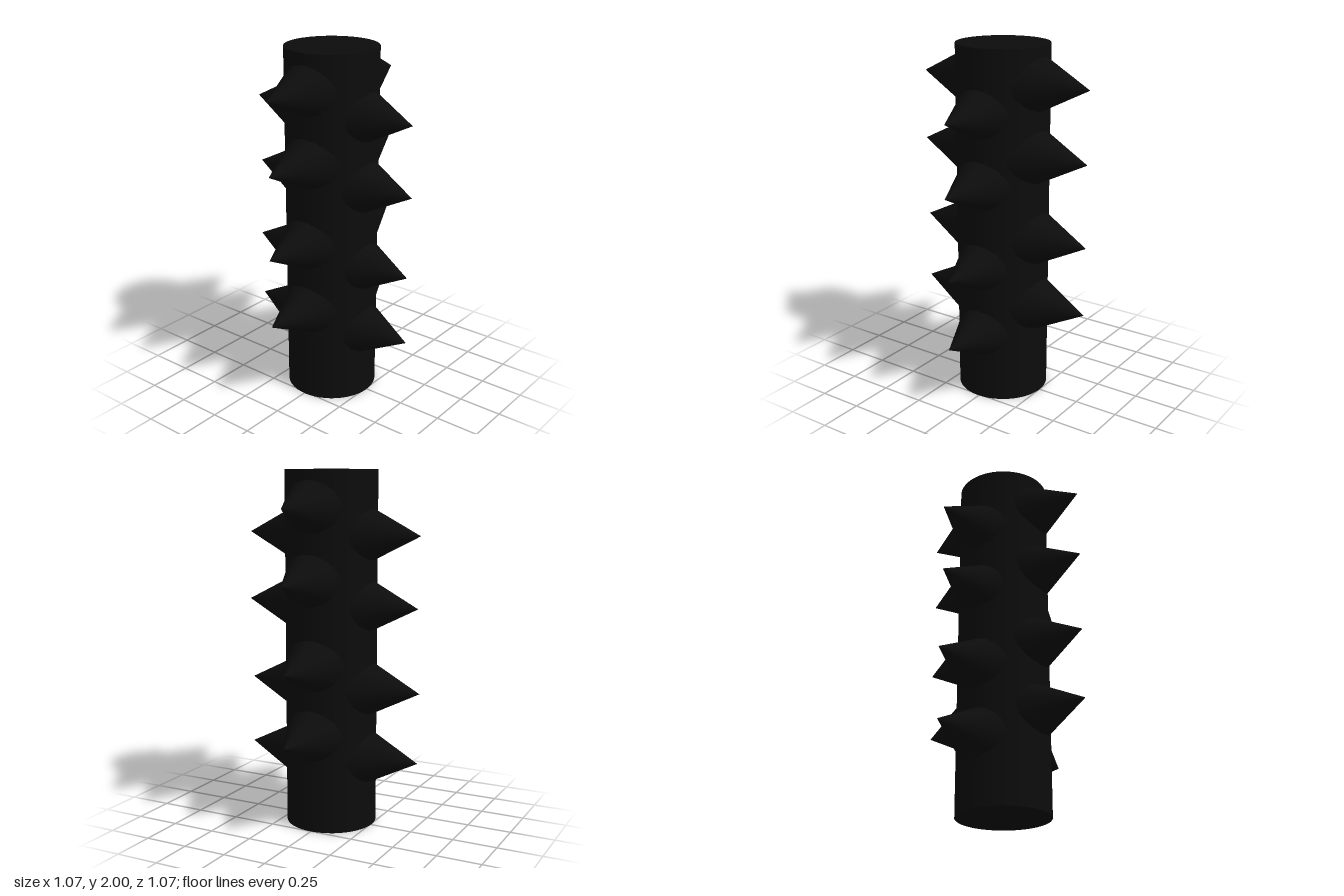
import * as THREE from 'three';

const material = new THREE.MeshStandardMaterial({ color: 0x0c0c0c });
const SPIKE_HEIGHT = 0.4;

// A cone lying along a horizontal direction, its tip at the given distance from the centre
function makeSpike(name, y, angle, reach, offsetX, offsetZ) {
  const geometry = new THREE.ConeGeometry(SPIKE_HEIGHT / 2, SPIKE_HEIGHT, 32);
  geometry.translate(0, reach - SPIKE_HEIGHT / 2, 0);
  geometry.rotateX(Math.PI / 2);
  const spike = new THREE.Mesh(geometry, material);
  spike.name = name;
  spike.rotation.y = angle;
  spike.position.set(offsetX, y, offsetZ);
  return spike;
}

export function createModel() {
  const model = new THREE.Group();
  model.name = 'spikedColumn';

  // Round column
  const column = new THREE.Mesh(new THREE.CylinderGeometry(0.257, 0.257, 2, 48), material);
  column.name = 'column';
  column.position.set(0.002, 1, 0.006);
  model.add(column);

  // Spike pairs to the left and right: [height, sideways shift]
  for (const [y, shift] of [[0.4, -0.004], [0.795, -0.01], [1.26, 0.005], [1.65, -0.004]]) {
    model.add(makeSpike('leftSpike', y, Math.PI / 2, 0.528, shift, 0.003));
    model.add(makeSpike('rightSpike', y, -Math.PI / 2, 0.528, shift, 0.003));
  }

  // Spike pairs to the front and back, set between the side pairs
  for (const [y, shift] of [[0.55, 0.008], [0.942, 0.004], [1.408, 0.014], [1.8, 0.008]]) {
    model.add(makeSpike('frontSpike', y, 0, 0.536, shift, 0.001));
    model.add(makeSpike('backSpike', y, Math.PI, 0.536, shift, 0.001));
  }
  return model;
}
